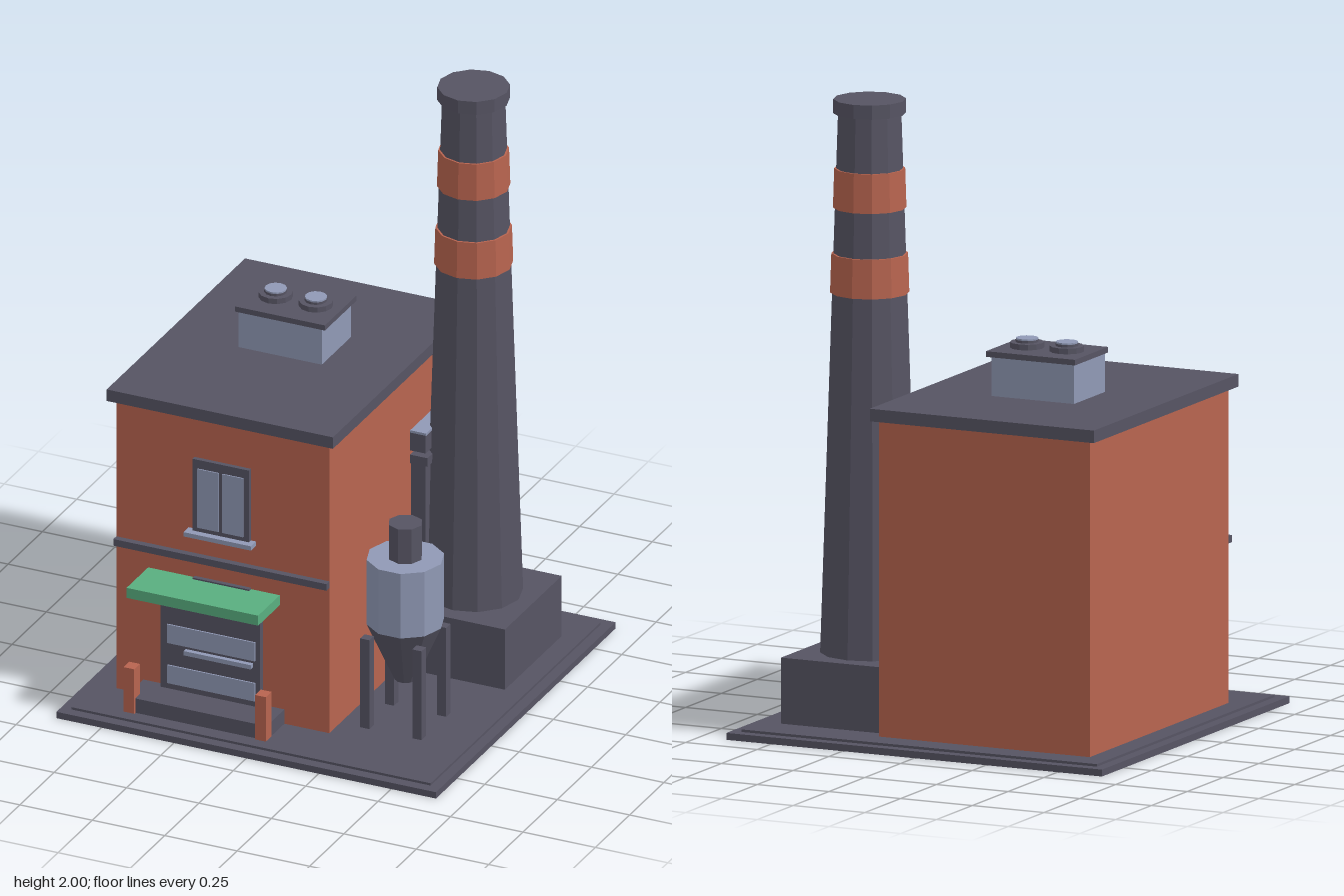
import * as THREE from 'three';

const material = (name, color) => {
  const m = new THREE.MeshStandardMaterial({ color });
  m.name = name;
  return m;
};

export function createModel() {
  const slate = material('slate', 0x565463);
  const brick = material('brick', 0xb8644f);
  const steel = material('paleSteel', 0x9099b5);
  const green = material('awningGreen', 0x59ae7f);

  const root = new THREE.Group();
  root.name = 'factory';
  const group = (name) => {
    const g = new THREE.Group();
    g.name = name;
    root.add(g);
    return g;
  };

  // Box given by its extents on each axis
  const box = (parent, name, mat, [x0, x1], [y0, y1], [z0, z1]) => {
    const mesh = new THREE.Mesh(new THREE.BoxGeometry(x1 - x0, y1 - y0, z1 - z0), mat);
    mesh.position.set((x0 + x1) / 2, (y0 + y1) / 2, (z0 + z1) / 2);
    mesh.name = name;
    parent.add(mesh);
  };

  // Faceted tapered drum standing between two heights
  const drum = (parent, name, mat, [x, z], [y0, y1], r0, r1, sides, turn = 0) => {
    const flat = new THREE.CylinderGeometry(r1, r0, y1 - y0, sides).toNonIndexed();
    flat.computeVertexNormals();
    const mesh = new THREE.Mesh(flat, mat);
    mesh.position.set(x, (y0 + y1) / 2, z);
    mesh.rotation.y = turn;
    mesh.name = name;
    parent.add(mesh);
  };

  // Ground slab
  const ground = group('ground');
  box(ground, 'slab', slate, [-0.655, 0.655], [0, 0.022], [-0.655, 0.655]);
  box(ground, 'slabTop', slate, [-0.62, 0.62], [0.022, 0.03], [-0.62, 0.62]);

  // Main building
  const building = group('building');
  box(building, 'walls', brick, [-0.55, 0.185], [0.03, 1.035], [-0.53, 0.44]);
  box(building, 'roof', slate, [-0.575, 0.206], [1.035, 1.075], [-0.552, 0.458]);
  box(building, 'floorBand', slate, [-0.55, 0.185], [0.537, 0.56], [0.44, 0.462]);

  // Front windows, one per floor
  for (const y of [0.23, 0.645]) {
    const win = group('window');
    box(win, 'frame', slate, [-0.28, -0.085], [y, y + 0.25], [0.44, 0.455]);
    for (const x of [-0.262, -0.177])
      box(win, 'pane', steel, [x, x + 0.073], [y + 0.015, y + 0.22], [0.453, 0.459]);
    box(win, 'sill', steel, [-0.3, -0.068], [y - 0.015, y], [0.44, 0.478]);
  }

  // Entrance with step, bollards and awning
  const entrance = group('entrance');
  box(entrance, 'door', slate, [-0.388, -0.044], [0.08, 0.41], [0.44, 0.462]);
  for (const [y0, y1] of [[0.1, 0.163], [0.24, 0.305]])
    box(entrance, 'doorPanel', steel, [-0.362, -0.06], [y0, y1], [0.46, 0.467]);
  box(entrance, 'step', slate, [-0.457, 0.03], [0.03, 0.08], [0.44, 0.57]);
  for (const x of [-0.46, -0.006])
    box(entrance, 'bollard', brick, [x, x + 0.037], [0.03, 0.185], [0.536, 0.578]);
  box(entrance, 'awning', green, [-0.44, 0.014], [0.44, 0.475], [0.44, 0.598]);

  // Rooftop vent with two fans
  const vent = group('roofVent');
  box(vent, 'ventBox', steel, [-0.33, -0.042], [1.075, 1.2], [-0.2, 0.015]);
  box(vent, 'ventLid', slate, [-0.338, -0.028], [1.2, 1.218], [-0.21, 0.022]);
  for (const x of [-0.253, -0.114]) {
    drum(vent, 'fanRing', slate, [x, -0.095], [1.218, 1.236], 0.054, 0.054, 12);
    drum(vent, 'fanHub', slate, [x, -0.095], [1.236, 1.244], 0.036, 0.036, 12);
    drum(vent, 'fanCap', steel, [x, -0.095], [1.244, 1.249], 0.035, 0.035, 12);
  }

  // Side duct between building and chimney
  const duct = group('sideDuct');
  box(duct, 'ductPanel', slate, [0.185, 0.235], [0.03, 0.705], [-0.395, -0.155]);
  box(duct, 'ductLedge', slate, [0.185, 0.245], [0.705, 0.735], [-0.4, -0.15]);
  box(duct, 'ductHood', slate, [0.185, 0.238], [0.75, 0.812], [-0.4, -0.15]);
  box(duct, 'hoodTop', steel, [0.185, 0.24], [0.812, 0.82], [-0.4, -0.15]);

  // Chimney
  const chimney = group('chimney');
  const stack = [0.345, -0.275];
  box(chimney, 'plinth', slate, [0.137, 0.551], [0.03, 0.24], [-0.482, -0.068]);
  drum(chimney, 'shaft', slate, stack, [0.24, 1.96], 0.155, 0.099, 12);
  drum(chimney, 'lowerBand', brick, stack, [1.385, 1.51], 0.124, 0.12, 12);
  drum(chimney, 'upperBand', brick, stack, [1.655, 1.78], 0.115, 0.111, 12);
  drum(chimney, 'rim', slate, stack, [1.955, 2], 0.114, 0.114, 12);

  // Hopper silo on four legs
  const silo = group('silo');
  const hub = [0.36, 0.255];
  const turn = Math.PI / 10;
  drum(silo, 'tank', steel, hub, [0.375, 0.6], 0.123, 0.123, 10, turn);
  drum(silo, 'hopper', slate, hub, [0.175, 0.375], 0.034, 0.123, 10, turn);
  drum(silo, 'inletPipe', slate, hub, [0.6, 0.72], 0.055, 0.055, 8);
  for (const sx of [-1, 1])
    for (const sz of [-1, 1]) {
      const x = hub[0] + sx * 0.09, z = hub[1] + sz * 0.09;
      box(silo, 'leg', slate, [x - 0.016, x + 0.016], [0.03, 0.34], [z - 0.016, z + 0.016]);
    }

  return root;
}
